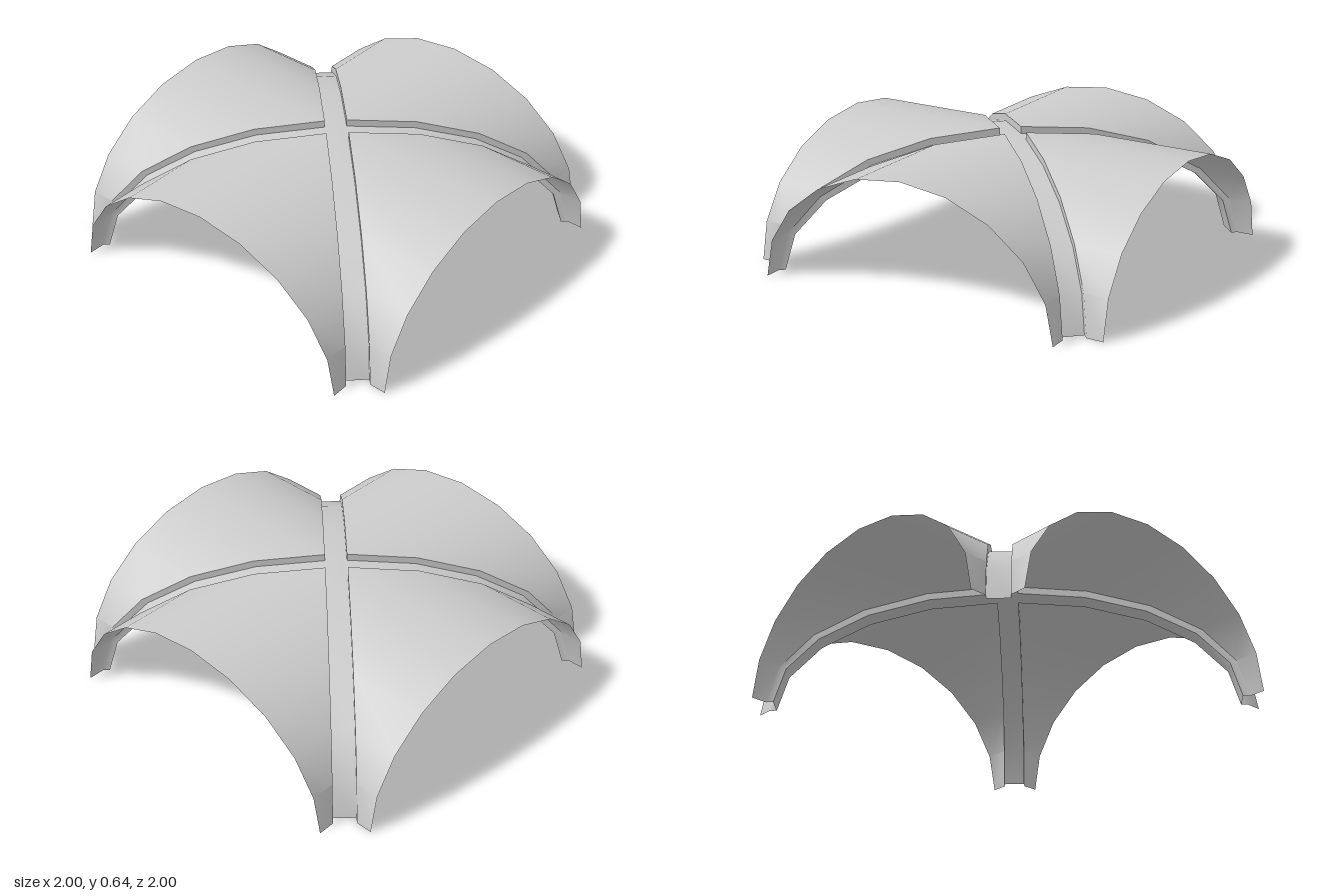
import * as THREE from 'three';
import { mergeGeometries, toCreasedNormals } from 'three/addons/utils/BufferGeometryUtils.js';

const SEGMENTS = 10;   // facets in each arch
const GAP = 0.08;      // offset of web edges from the diagonals
const OUTER = { a: 0.832, b: 0.64 };
const INNER = { a: 0.807, b: 0.602 };

const material = new THREE.MeshStandardMaterial({ color: 0xcccccc, side: THREE.DoubleSide });

// Point i on an elliptical arch running from -x to +x
function archPoint({ a, b }, i) {
  const t = Math.PI * i / SEGMENTS;
  return { x: -a * Math.cos(t), y: i % SEGMENTS ? b * Math.sin(t) : 0 };
}

// Skin a list of equally long rows of [x, y, z] points
function skin(rows) {
  const n = rows[0].length, index = [];
  for (let i = 0; i < rows.length - 1; i++) {
    for (let j = 0; j < n - 1; j++) {
      const a = i * n + j, b = a + n;
      index.push(a, a + 1, b, b, a + 1, b + 1);
    }
  }
  const geometry = new THREE.BufferGeometry();
  geometry.setAttribute('position', new THREE.Float32BufferAttribute(rows.flat(2), 3));
  geometry.setIndex(index);
  return geometry;
}

// One barrel web, cut along the diagonals, with a lip dropping to the ribs
function webGeometry() {
  const rows = [];
  for (let i = 0; i <= SEGMENTS; i++) {
    const o = archPoint(OUTER, i), n = archPoint(INNER, i);
    rows.push([
      [n.x, n.y, Math.abs(n.x) + GAP],
      [o.x, o.y, Math.abs(o.x) + GAP],
      [o.x, o.y, 1],
    ]);
  }
  return toCreasedNormals(skin(rows), 0.9);
}

// Four recessed diagonal ribs meeting at a flat diamond crown
function ribGeometry() {
  const rows = [];
  for (let i = SEGMENTS / 2; i <= SEGMENTS; i++) {
    const { x, y } = archPoint(INNER, i);
    rows.push([[x + GAP, y, x], [x, y, x + GAP]]);
  }
  const half = skin(rows);
  const parts = [0, 1, 2, 3].map(k => half.clone().rotateY(k * Math.PI / 2));
  const h = INNER.b;
  parts.push(skin([[[0, h, -GAP], [-GAP, h, 0]], [[GAP, h, 0], [0, h, GAP]]]));
  return toCreasedNormals(mergeGeometries(parts), 0.9);
}

export function createModel() {
  const group = new THREE.Group();
  group.name = 'groinVault';

  const web = webGeometry();
  ['frontWeb', 'leftWeb', 'backWeb', 'rightWeb'].forEach((name, k) => {
    const mesh = new THREE.Mesh(web, material);
    mesh.name = name;
    mesh.rotation.y = k * Math.PI / 2;
    group.add(mesh);
  });

  const ribs = new THREE.Mesh(ribGeometry(), material);
  ribs.name = 'diagonalRibs';
  group.add(ribs);
  return group;
}
